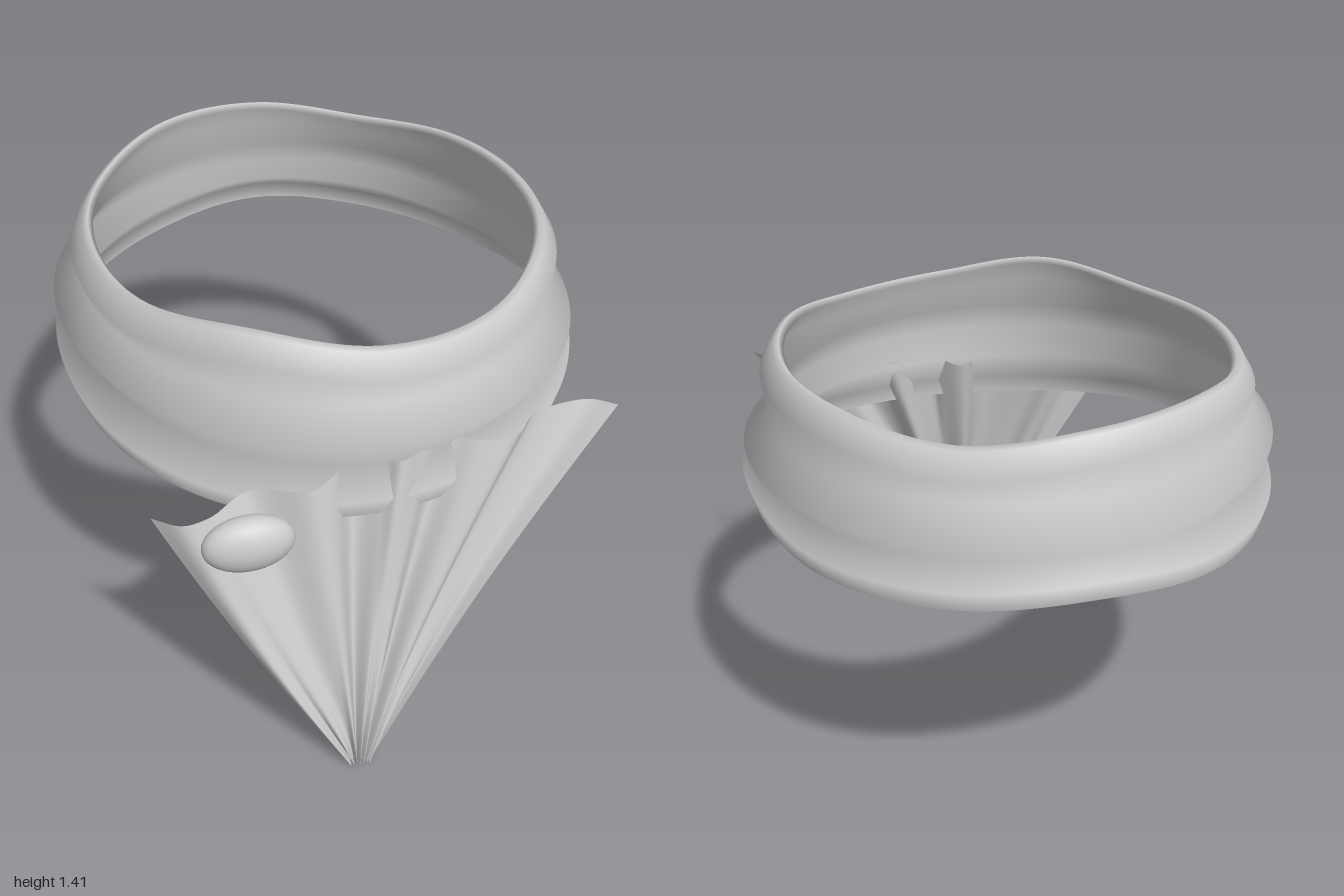
import * as THREE from 'three';

const cloth = new THREE.MeshStandardMaterial({ color: 0xcccccc, side: THREE.DoubleSide });
cloth.name = 'light grey cloth';

// Smooth grid surface from columns of points; wrap joins the last column to the first
function gridSurface(columns, wrap) {
  const rows = columns[0].length, n = columns.length, pos = [], index = [];
  columns.forEach(c => c.forEach(p => pos.push(p.x, p.y, p.z)));
  for (let i = 0; i < (wrap ? n : n - 1); i++) {
    for (let j = 0; j < rows - 1; j++) {
      const a = i * rows + j, b = ((i + 1) % n) * rows + j;
      index.push(a, a + 1, b, b, a + 1, b + 1);
    }
  }
  const g = new THREE.BufferGeometry();
  g.setAttribute('position', new THREE.Float32BufferAttribute(pos, 3));
  g.setIndex(index);
  g.computeVertexNormals();
  return g;
}

// Height varying around the neck, sampled every 30 degrees from the left side (+x) to the front
function around(values) {
  const curve = new THREE.CatmullRomCurve3(
    values.map((y, i) => new THREE.Vector3(i, y, 0)), true, 'catmullrom');
  return t => curve.getPoint(t).y;
}
const topEdge = around([1.39, 1.395, 1.36, 1.37, 1.42, 1.38, 1.385, 1.385, 1.415, 1.40, 1.355, 1.38]);
const ridge = around([1.09, 1.09, 1.10, 1.11, 1.13, 1.15, 1.16, 1.15, 1.13, 1.12, 1.11, 1.09]);
const hem = around([0.95, 0.91, 0.87, 0.85, 0.86, 0.90, 0.95, 0.92, 0.92, 0.95, 0.92, 0.91]);

// Neck band: sharply folded cross-section swept round an oval, outside then inside
function bandGeometry() {
  const columns = [], N = 120;
  for (let i = 0; i < N; i++) {
    const t = i / N, a = t * Math.PI * 2;
    const top = topEdge(t), rid = ridge(t), bot = hem(t), low = bot + 0.06, mid = (low + rid) / 2;
    const tuck = 0.03 * Math.max(0, Math.sin(a)) ** 4;
    const profile = [
      [0.825 - tuck, bot], [0.84 - tuck, low], [0.77 - tuck * 0.4, mid],
      [0.83, rid], [0.75, rid + 0.1], [0.763, top - 0.08], [0.72, top - 0.008], [0.70, top],
      [0.685, top - 0.02], [0.735, top - 0.09], [0.73, rid + 0.1], [0.80, rid],
      [0.75 - tuck * 0.4, mid], [0.82 - tuck, low], [0.825 - tuck, bot],
    ];
    columns.push(profile.map(([r, y]) =>
      new THREE.Vector3(r * Math.cos(a), y, -0.085 + (r + 0.075) * Math.sin(a))));
  }
  return gridSurface(columns, true);
}

// Pleated bib: a wavy top edge, its middle pleats passing through the band, gathered to a point
function bibGeometry() {
  const edge = new THREE.CatmullRomCurve3([
    [-0.68, 0.94, 0.74], [-0.60, 0.945, 0.80], [-0.52, 0.95, 0.79], [-0.40, 0.97, 0.73],
    [-0.23, 0.99, 0.80], [-0.16, 1.00, 0.765], [-0.08, 0.99, 0.70], [0.00, 1.01, 0.745],
    [0.04, 1.03, 0.785], [0.12, 1.04, 0.75], [0.20, 1.03, 0.71], [0.28, 1.04, 0.765],
    [0.38, 1.06, 0.79], [0.46, 1.07, 0.72], [0.62, 1.09, 0.72], [0.69, 1.10, 0.78],
  ].map(p => new THREE.Vector3(...p)), false, 'centripetal');
  const columns = [], N = 140, M = 30;
  for (let i = 0; i <= N; i++) {
    const u = i / N, e = edge.getPoint(u), col = [];
    const fold = Math.sin(u * Math.PI * 14);
    for (let j = 0; j <= M; j++) {
      const t = j / M;
      const tipX = -0.125 + 0.07 * (u - 0.5);
      const z = 0.98 + (0.765 - 0.98) * t + (e.z - 0.765) * t ** 0.8
        + 0.015 * fold * (1 - t) ** 0.8;
      const bulge = (u < 0.5 ? -0.02 : -0.03) * Math.sin(Math.PI * t) * Math.abs(u - 0.5) * 2;
      col.push(new THREE.Vector3(tipX + (e.x - tipX) * t + bulge, 0.005 + (e.y - 0.005) * t, z));
    }
    columns.push(col);
  }
  return gridSurface(columns, false);
}

export function createModel() {
  const group = new THREE.Group();
  group.name = 'neckerchief';
  const add = (name, geometry) => {
    const mesh = new THREE.Mesh(geometry, cloth);
    mesh.name = name;
    group.add(mesh);
    return mesh;
  };
  add('neckBand', bandGeometry());
  add('pleatedBib', bibGeometry());

  // Oval knot on the right side of the bib
  const knot = add('knot', new THREE.SphereGeometry(1, 40, 24));
  knot.scale.set(0.133, 0.09, 0.062);
  knot.position.set(-0.43, 0.9, 0.865);
  return group;
}
